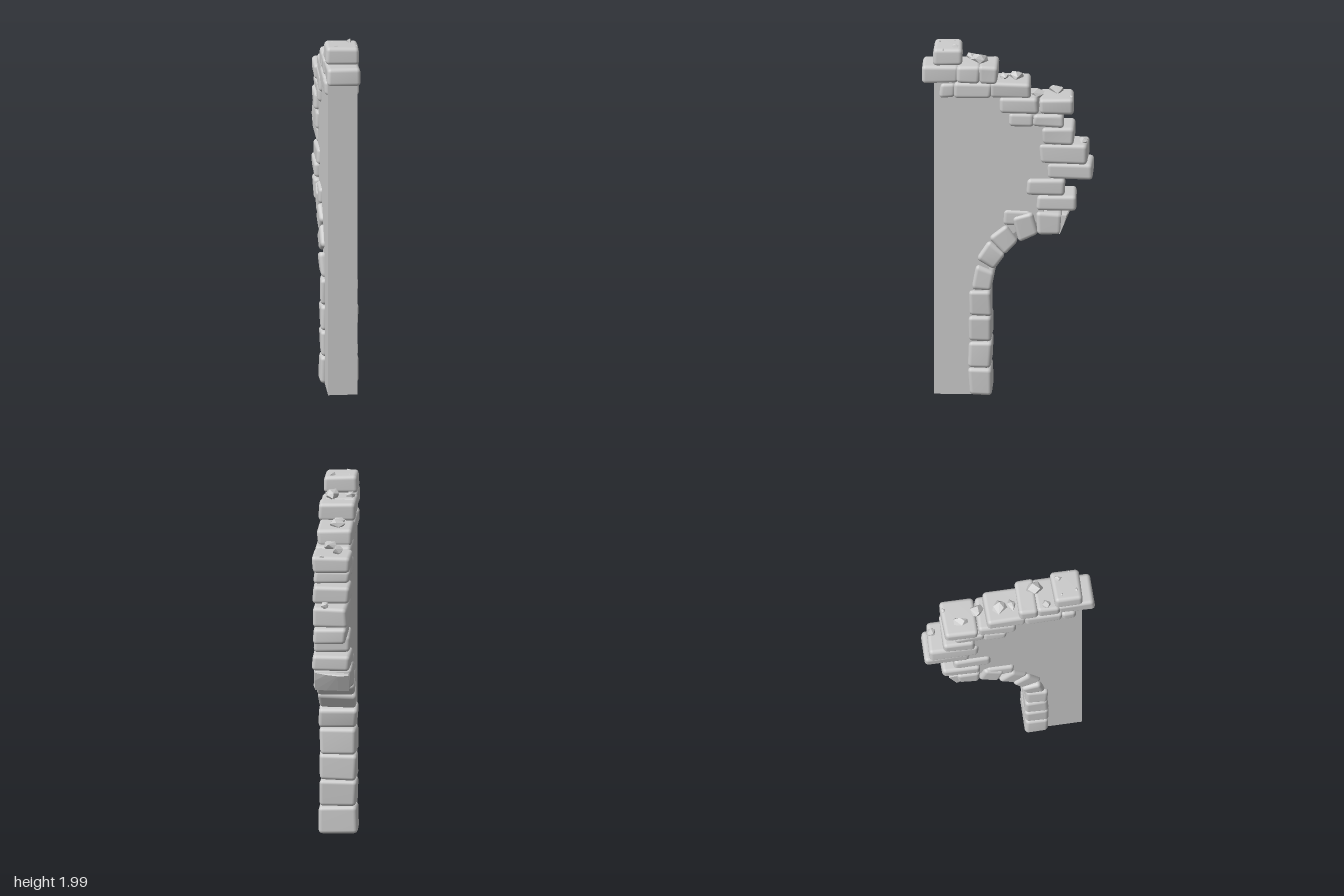
import * as THREE from 'three';
import { RoundedBoxGeometry } from 'three/addons/geometries/RoundedBoxGeometry.js';
import { ConvexGeometry } from 'three/addons/geometries/ConvexGeometry.js';
import { mergeVertices } from 'three/addons/utils/BufferGeometryUtils.js';

const lerp = THREE.MathUtils.lerp;

export function createModel() {
  const model = new THREE.Group();
  model.name = 'ruinedArchWall';
  const smooth = new THREE.MeshStandardMaterial({ color: 0xcccccc });
  const faceted = new THREE.MeshStandardMaterial({ color: 0xcccccc, flatShading: true });

  let seed = 7;
  const rand = () => (seed = (seed * 16807) % 2147483647) / 2147483647;
  const jitter = (s) => (rand() - 0.5) * 2 * s;

  const add = (parent, name, geometry, material) => {
    const mesh = new THREE.Mesh(geometry, material);
    mesh.name = name;
    parent.add(mesh);
    return mesh;
  };
  const group = (name) => {
    const g = new THREE.Group();
    g.name = name;
    model.add(g);
    return g;
  };

  // Rounded stone warped into a [z, y] quad (a, b, c, d) with slightly uneven corners
  function stone(parent, name, [a, b, c, d], half) {
    const depth = Math.hypot(b[0] - a[0], b[1] - a[1]);
    const height = Math.hypot(d[0] - a[0], d[1] - a[1]);
    const radius = Math.min(0.022, height * 0.3, depth * 0.3);
    let geo = new RoundedBoxGeometry(half * 2, height, depth, 3, radius);
    geo.deleteAttribute('normal');
    geo.deleteAttribute('uv');
    geo = mergeVertices(geo, 1e-5);
    const sides = [-1, 1].map((s) => [a, b, c, d].map(([z, y]) =>
      [s * half + jitter(0.007), y + jitter(0.005), z + jitter(0.007)]));
    const p = geo.attributes.position;
    for (let i = 0; i < p.count; i++) {
      const u = p.getX(i) / (half * 2) + 0.5;
      const v = p.getY(i) / height + 0.5;
      const w = p.getZ(i) / depth + 0.5;
      const q = [0, 1, 2].map((k) => {
        const at = (s) => lerp(lerp(s[0][k], s[1][k], w), lerp(s[3][k], s[2][k], w), v);
        return lerp(at(sides[0]), at(sides[1]), u);
      });
      p.setXYZ(i, q[0], Math.max(0, q[1]), q[2]);
    }
    geo.computeVertexNormals();
    add(parent, name, geo, smooth);
  }
  const rect = (z0, z1, y0, y1) => [[z0, y0], [z1, y0], [z1, y1], [z0, y1]];

  // Plain wall core, drawn in [z, y] and extruded across x
  const outline = [
    [0.4, 0], [0.4, 1.8], [0.1, 1.76], [-0.02, 1.72], [-0.1, 1.66], [-0.22, 1.6], [-0.26, 1.48],
    [-0.27, 1.28], [-0.19, 1.2], [-0.2, 1.0], [-0.1, 0.98], [0, 0.9], [0.09, 0.77], [0.13, 0.6], [0.13, 0],
  ].map(([z, y]) => new THREE.Vector2(z, y));
  const core = new THREE.ExtrudeGeometry(new THREE.Shape(outline), { depth: 0.16, bevelEnabled: false });
  core.translate(0, 0, -0.08).rotateY(-Math.PI / 2);
  add(model, 'wallCore', core, faceted);

  // Pillar stones below the arch
  const pillar = group('pillarStones');
  const levels = [0, 0.155, 0.305, 0.45, 0.6];
  for (let i = 0; i < 4; i++) {
    stone(pillar, 'pillarStone', rect(0.085, 0.21, levels[i], levels[i + 1]), 0.102);
  }

  // Arch stones, following the curve
  const arch = group('archStones');
  [
    [[0.085, 0.6], [0.2, 0.6], [0.175, 0.745], [0.065, 0.71]],
    [[0.07, 0.715], [0.175, 0.78], [0.105, 0.885], [0.015, 0.805]],
    [[0.015, 0.805], [0.105, 0.9], [0.01, 0.98], [-0.065, 0.88]],
    [[-0.065, 0.88], [-0.025, 1.02], [-0.14, 1.055], [-0.17, 0.93]],
    [[-0.165, 0.93], [-0.16, 1.055], [-0.295, 1.05], [-0.285, 0.93]],
  ].forEach((quad) => stone(arch, 'archStone', quad, 0.104));
  stone(arch, 'archBackingStone', rect(-0.13, 0.02, 0.97, 1.06), 0.095);

  // Jagged break at the end of the arch
  const broken = [];
  for (const x of [-0.095, -0.035, 0.03, 0.092]) {
    const t = jitter(0.012);
    broken.push(
      new THREE.Vector3(x, 1.035 + t, -0.325 + t),
      new THREE.Vector3(x, 0.985 + t, -0.305 - t),
      new THREE.Vector3(x, 0.93, -0.287 + t / 2),
      new THREE.Vector3(x * 0.95, 1.03, -0.25),
      new THREE.Vector3(x * 0.95, 0.945, -0.25),
    );
  }
  add(arch, 'brokenEnd', new ConvexGeometry(broken), faceted);

  // Stepped edge stones: z range, y range, half width
  const edge = group('edgeStones');
  [
    [-0.375, -0.16, 1.06, 1.15, 0.1],
    [-0.31, -0.105, 1.15, 1.24, 0.1],
    [-0.465, -0.22, 1.24, 1.33, 0.092],
    [-0.437, -0.175, 1.33, 1.44, 0.092],
    [-0.365, -0.19, 1.44, 1.535, 0.1],
    [-0.305, -0.14, 1.54, 1.615, 0.098],
    [-0.145, -0.012, 1.54, 1.62, 0.095],
    [-0.355, -0.17, 1.615, 1.705, 0.102],
    [-0.17, 0.04, 1.615, 1.705, 0.1],
    [-0.125, 0.09, 1.7, 1.79, 0.096],
    [0.085, 0.29, 1.7, 1.79, 0.1],
    [0.285, 0.37, 1.7, 1.785, 0.096],
    [0.05, 0.155, 1.785, 1.885, 0.1],
    [0.15, 0.275, 1.785, 1.885, 0.096],
    [0.265, 0.468, 1.782, 1.882, 0.09],
    [0.25, 0.402, 1.885, 1.98, 0.094],
  ].forEach(([z0, z1, y0, y1, half]) => stone(edge, 'edgeStone', rect(z0, z1, y0, y1), half));

  // Loose rubble: x, y, z, then width, height, length
  const rubble = group('rubble');
  [
    [0.03, 1.45, -0.415, 0.06, 0.04, 0.05],
    [0.05, 1.705, -0.345, 0.03, 0.02, 0.02],
    [-0.03, 1.72, -0.265, 0.06, 0.06, 0.09],
    [0.02, 1.715, -0.165, 0.08, 0.05, 0.08],
    [-0.01, 1.805, -0.045, 0.085, 0.05, 0.08],
    [-0.01, 1.8, 0.02, 0.08, 0.04, 0.05],
    [0.035, 1.91, 0.155, 0.08, 0.06, 0.1],
    [-0.06, 1.89, 0.205, 0.055, 0.05, 0.05],
    [0.045, 1.98, 0.285, 0.035, 0.036, 0.045],
    [-0.05, 1.977, 0.293, 0.02, 0.02, 0.025],
    [-0.035, 1.977, 0.375, 0.03, 0.024, 0.02],
    [0.078, 1.972, 0.35, 0.016, 0.02, 0.016],
  ].forEach(([x, y, z, w, h, l]) => {
    const points = [];
    for (let i = 0; i < 11; i++) {
      const up = 1 - (2 * i + 1) / 11;
      const r = Math.sqrt(1 - up * up);
      const turn = i * 2.4 + jitter(0.5);
      points.push(new THREE.Vector3(r * Math.cos(turn) * w, up * h, r * Math.sin(turn) * l)
        .multiplyScalar(0.5 + jitter(0.06)));
    }
    add(rubble, 'rubbleRock', new ConvexGeometry(points), faceted).position.set(x, y, z);
  });

  return model;
}
